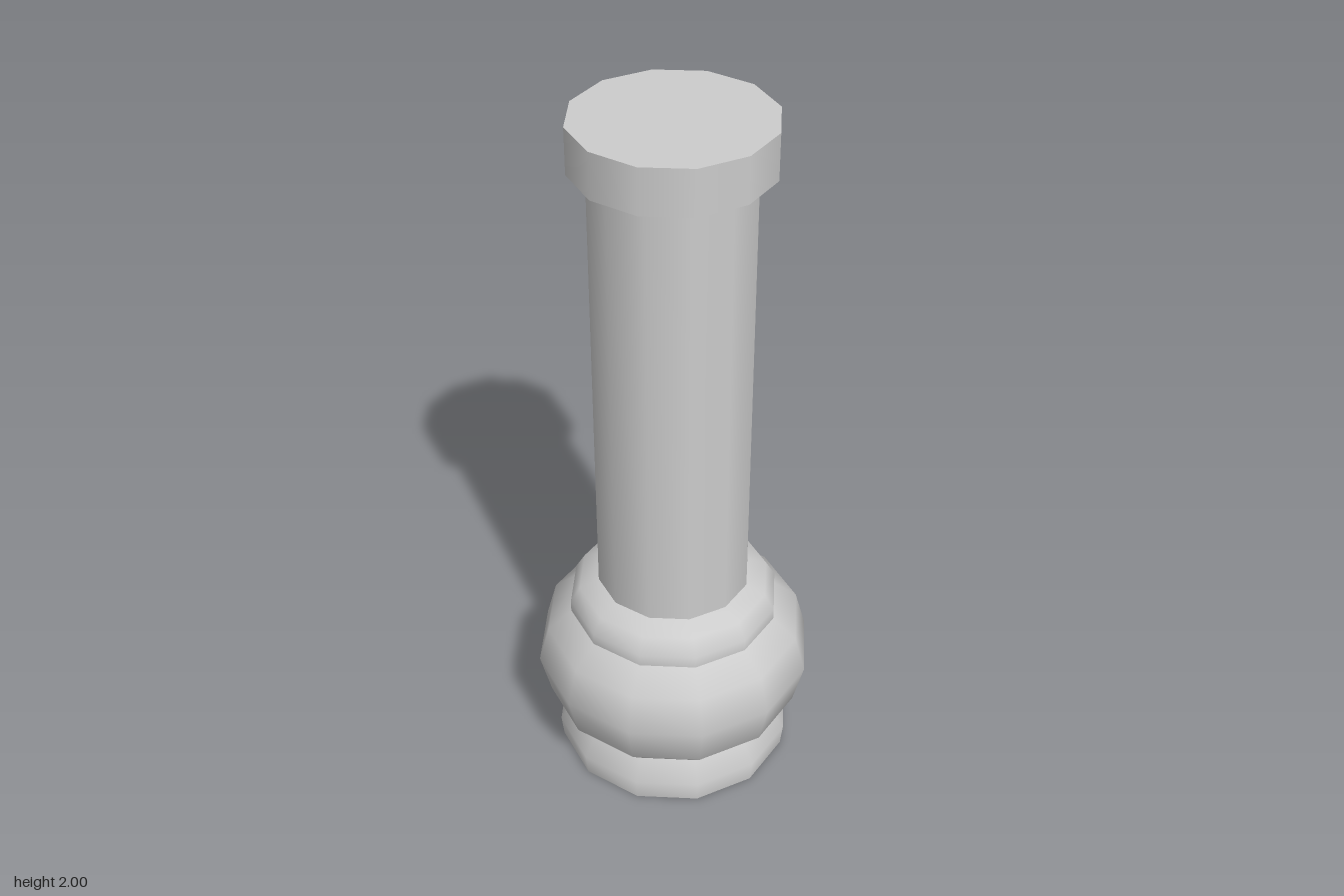
import * as THREE from 'three';

const SIDES = 12;

export function createModel() {
  const group = new THREE.Group();
  group.name = 'column';
  const stone = new THREE.MeshStandardMaterial({ color: 0xcccccc });
  stone.name = 'grey stone';

  // Turned part from [radius, height] points listed bottom to top
  function turned(name, profile) {
    const points = profile.map(([r, y]) => new THREE.Vector2(r, y));
    const mesh = new THREE.Mesh(new THREE.LatheGeometry(points, SIDES), stone);
    mesh.name = name;
    group.add(mesh);
  }

  // Base: flat underside, foot ring, bulging belly and collar
  turned('underside', [[0, 0], [0.335, 0]]);
  turned('footRing', [[0.335, 0], [0.342, 0.065], [0.305, 0.13]]);
  turned('belly', [[0.305, 0.13], [0.365, 0.195], [0.395, 0.32], [0.365, 0.43], [0.297, 0.49]]);
  turned('collar', [[0.297, 0.49], [0.297, 0.525], [0.27, 0.572], [0.215, 0.595]]);

  // Straight shaft
  turned('shaft', [[0.215, 0.595], [0.215, 1.85]]);

  // Capital: sloped underside, band and flat top
  turned('capitalUnderside', [[0.215, 1.85], [0.262, 1.875]]);
  turned('capitalBand', [[0.262, 1.875], [0.262, 2]]);
  turned('capitalTop', [[0.262, 2], [0, 2]]);

  return group;
}
